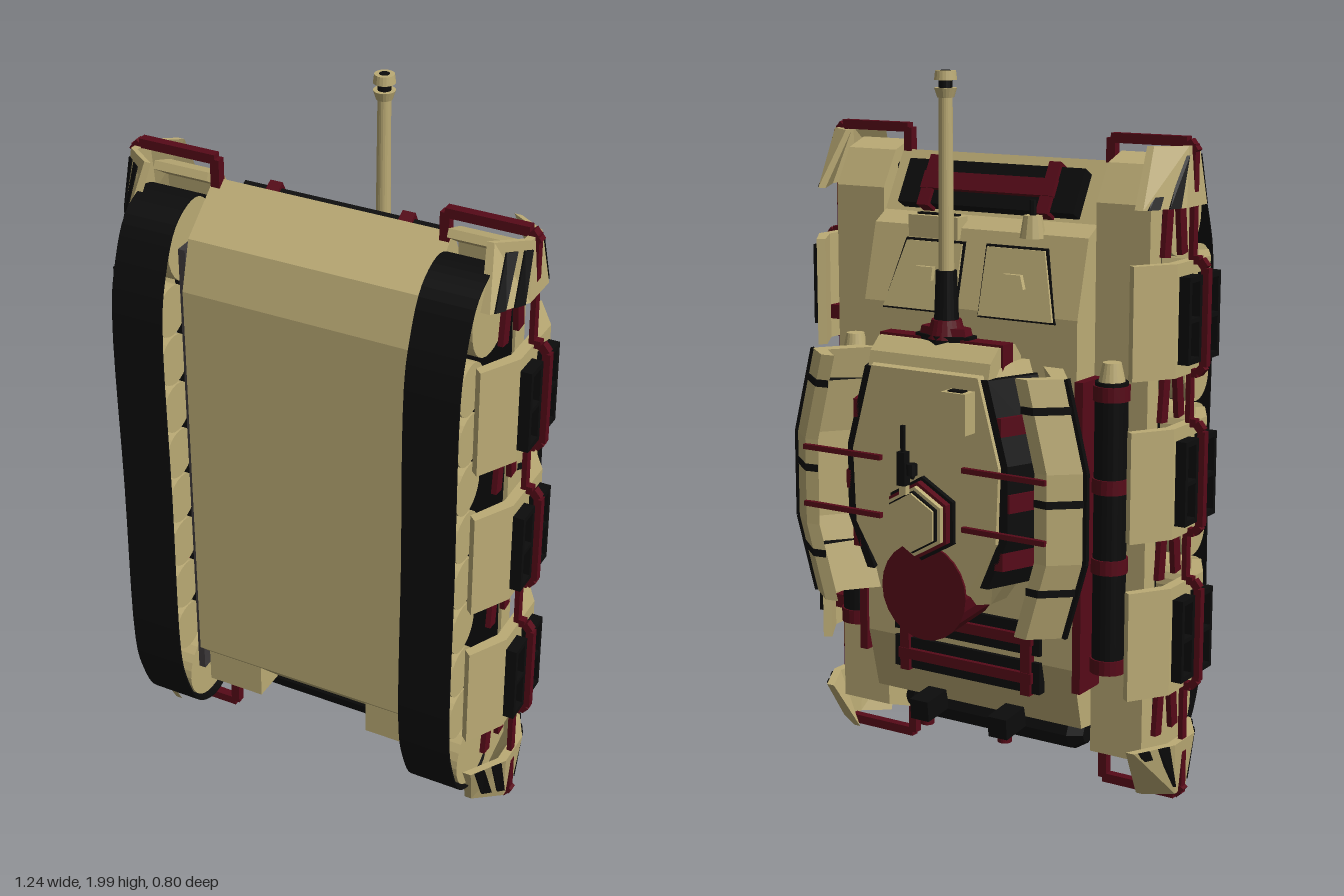
import * as THREE from 'three';

const mat = (color) => new THREE.MeshStandardMaterial({ color, flatShading: true, side: THREE.DoubleSide });

export function createModel() {
  const root = new THREE.Group();
  const tan = mat(0xbbab75), black = mat(0x0c0c0c), red = mat(0x560a18), grey = mat(0x3c383a);
  let target = root;

  const add = (name, geo, m) => {
    const mesh = new THREE.Mesh(geo, m);
    mesh.name = name;
    target.add(mesh);
  };
  const box = (name, m, x0, x1, y0, y1, z0, z1) => add(name,
    new THREE.BoxGeometry(x1 - x0, y1 - y0, z1 - z0).translate((x0 + x1) / 2, (y0 + y1) / 2, (z0 + z1) / 2), m);
  // Rectangular bar between two points
  const bar = (name, m, a, b, w, d = w) => {
    const p = new THREE.Vector3(...a), q = new THREE.Vector3(...b);
    const turn = new THREE.Matrix4().lookAt(q, p, new THREE.Vector3(0, 1, 0));
    turn.setPosition(p.clone().add(q).multiplyScalar(0.5));
    add(name, new THREE.BoxGeometry(w, d, p.distanceTo(q)).applyMatrix4(turn), m);
  };
  // Cylinder along y, x or z
  const cyl = (name, m, r0, r1, h, x, y, z, axis = 'y', n = 20) => {
    const g = new THREE.CylinderGeometry(r1, r0, h, n);
    if (axis === 'x') g.rotateZ(Math.PI / 2);
    if (axis === 'z') g.rotateX(-Math.PI / 2);
    add(name, g.translate(x, y, z), m);
  };
  const vecs = (pts) => pts.map((p) => new THREE.Vector2(...p));
  // Extrude a (z, y) shape along x
  const prismX = (name, m, shape, x0, x1) => add(name,
    new THREE.ExtrudeGeometry(shape, { depth: x1 - x0, bevelEnabled: false })
      .rotateY(-Math.PI / 2).translate(x1, 0, 0), m);
  // Skin equal-length closed rings of points and cap both ends
  const loft = (name, m, rings) => {
    const n = rings[0].length, idx = [];
    for (let r = 0; r < rings.length - 1; r++) for (let i = 0; i < n; i++) {
      const a = r * n + i, b = r * n + (i + 1) % n;
      idx.push(a, b, b + n, a, b + n, a + n);
    }
    const last = (rings.length - 1) * n;
    const level = Math.abs(rings[0][0][2] - rings[0][2][2]) < 1e-6;
    const flat = THREE.ShapeUtils.triangulateShape(vecs(rings[0].map((p) => [p[0], level ? p[1] : p[2]])), []);
    for (const [a, b, c] of flat) idx.push(c, b, a, last + a, last + b, last + c);
    const g = new THREE.BufferGeometry();
    g.setAttribute('position', new THREE.Float32BufferAttribute(rings.flat(2), 3));
    g.setIndex(idx);
    g.computeVertexNormals();
    add(name, g, m);
  };
  const both = (name, build) => {
    for (const s of [1, -1]) {
      target = new THREE.Group();
      target.name = (s > 0 ? 'left' : 'right') + name;
      target.scale.x = s;
      build();
      root.add(target);
    }
    target = root;
  };

  // Hull: side profile as (z, y)
  prismX('hull', tan, new THREE.Shape(vecs([[0.3, 0.34], [0.3, 1.51], [0.26, 1.645], [0.12, 1.76], [0.03, 1.6],
    [-0.02, 1.57], [-0.075, 1.36], [-0.075, 0.4], [-0.03, 0.22], [0.16, 0.2]])), -0.34, 0.34);
  cyl('rearMuffler', black, 0.055, 0.055, 0.52, 0, 0.165, 0.08, 'x', 8);
  both('RearParts', () => {
    box('rearBox', tan, 0.17, 0.34, 0.19, 0.3, 0.12, 0.25);
    cyl('mufflerEnd', black, 0.03, 0.055, 0.04, 0.28, 0.165, 0.08, 'x', 8);
    bar('exhaust', black, [0.13, 0.22, -0.03], [0.13, 0.21, -0.13], 0.06);
    cyl('exhaustTip', red, 0.02, 0.02, 0.02, 0.13, 0.17, -0.09);
  });

  // Spare track rack on the nose
  const rack = new THREE.Group();
  rack.name = 'noseRack';
  target = rack;
  box('spareTrack', black, -0.28, 0.28, -0.065, 0.065, -0.03, 0.02);
  box('rackBar', red, -0.21, 0.21, -0.025, 0.025, -0.045, 0);
  for (const x of [-0.19, 0.19]) box('rackStrap', red, x - 0.018, x + 0.018, -0.075, 0.075, -0.042, 0);
  rack.position.set(0, 1.67, 0.06);
  rack.rotation.x = 0.51;
  root.add(rack);
  target = root;

  // Glacis hatches, driver visor and ball mount
  both('Hatch', () => {
    const ring = (k, dz) => [[0.04 - k, 1.35 - k, -0.075 + dz], [0.27 + k, 1.35 - k, -0.075 + dz],
      [0.22 + k, 1.53 + k, -0.029 + dz], [0.04 - k, 1.53 + k, -0.029 + dz]];
    const at = ([x, y, z]) => [x * 0.3 + 0.1, y * 0.2 + 1.16, z * 0.2 - 0.058];
    loft('hatchSeal', black, [ring(0.006, 0), ring(0.006, -0.006)]);
    loft('hatch', tan, [ring(0, 0), ring(0, -0.013)]);
    loft('hatchVisor', tan, [ring(0, 0).map(at), ring(0, -0.07).map(at)]);
  });
  box('driverVisor', tan, 0.055, 0.215, 1.54, 1.6, -0.04, 0.01);
  box('visorSlot', black, 0.07, 0.2, 1.56, 1.605, -0.02, 0);
  cyl('ballMount', tan, 0.035, 0.025, 0.06, -0.17, 1.59, -0.02, 'y', 12);
  cyl('hullGun', black, 0.009, 0.009, 0.06, -0.17, 1.63, -0.02, 'y', 8);

  // Engine deck racks
  for (const y of [0.36, 0.47]) {
    box('deckPanel', black, -0.24, 0.24, y - 0.045, y + 0.045, -0.088, -0.06);
    box('deckBar', red, -0.22, 0.22, y - 0.015, y + 0.015, -0.102, -0.07);
  }
  for (const x of [-0.2, 0.2]) box('deckStrap', red, x - 0.015, x + 0.015, 0.31, 0.52, -0.1, -0.07);

  both('RunningGear', () => {
    // Track band with thin walls
    const path = (k) => {
      const c = new THREE.CatmullRomCurve3([[0.4, 0.39], [0.4, 0.92], [0.4, 1.46], [0.378, 1.57], [0.31, 1.705],
        [0.21, 1.745], [0.12, 1.69], [0.09, 1.55], [0.1, 0.92], [0.09, 0.3], [0.12, 0.16], [0.21, 0.108],
        [0.31, 0.147], [0.378, 0.28]].map(([z, y]) => new THREE.Vector3(
        0.245 + (z - 0.245) * (1 - k / 0.155), 0.925 + (y - 0.925) * (1 - k / 0.81), 0)), true, 'centripetal');
      return c.getPoints(70).slice(0, -1).map((p) => new THREE.Vector2(p.x, p.y));
    };
    const band = new THREE.Shape(path(0));
    band.holes.push(new THREE.Path(path(0.005)));
    prismX('track', black, band, 0.345, 0.495);
    for (let i = 0; i < 8; i++) cyl('roadWheel', tan, 0.071, 0.071, 0.13, 0.425, 0.43 + i * 0.147, 0.322, 'x', 24);
    for (const y of [0.235, 1.62]) cyl('endWheel', tan, 0.113, 0.113, 0.13, 0.425, y, 0.215, 'x', 28);
    box('innerWall', grey, 0.34, 0.36, 0.25, 1.62, 0.1, 0.28);
    // Fender
    prismX('fender', tan, new THREE.Shape(vecs([[0.02, 0.14], [0.02, 1.66], [0.08, 1.76], [0.15, 1.785],
      [0.16, 1.765], [0.09, 1.72], [0.08, 1.6], [0.08, 0.26], [0.16, 0.11], [0.13, 0.1]])), 0.34, 0.5);
    // Stowage on the fender
    cyl('canister', black, 0.045, 0.045, 0.8, 0.415, 0.8, -0.02);
    for (const y of [0.42, 0.7, 0.92, 1.17]) cyl('canisterBand', red, 0.05, 0.05, 0.04, 0.415, y, -0.02);
    cyl('canisterCap', tan, 0.038, 0.025, 0.06, 0.415, 1.22, -0.02);
    box('stowageRail', red, 0.34, 0.365, 0.34, 1.2, -0.085, 0.02);
  });

  both('SideArmour', () => {
    // Three skirt panels with framed plates
    for (const y of [0.495, 0.93, 1.365]) {
      const ring = (yy) => [[0.505, yy, -0.075], [0.575, yy, 0.03], [0.575, yy, 0.22], [0.515, yy, 0.328],
        [0.495, yy, 0.31], [0.545, yy, 0.21], [0.545, yy, 0.04], [0.485, yy, -0.06]];
      loft('skirtPanel', tan, [ring(y - 0.15), ring(y + 0.15)]);
      for (const z of [0.042, 0.148]) {
        const frame = new THREE.Shape(vecs([[z, y - 0.115], [z + 0.072, y - 0.115],
          [z + 0.072, y + 0.115], [z, y + 0.115]]));
        for (const h of [y - 0.1, y + 0.006]) frame.holes.push(new THREE.Path(vecs([[z + 0.013, h], [z + 0.059, h],
          [z + 0.059, h + 0.094], [z + 0.013, h + 0.094]])));
        prismX('panelFrame', black, frame, 0.57, 0.606);
      }
      bar('panelBracket', red, [0.42, y - 0.075, 0.06], [0.55, y - 0.075, 0.06], 0.04);
      // Rail stepping out over the panel
      const pts = [[0.565, -0.15], [0.592, -0.15], [0.609, -0.13], [0.609, 0.13], [0.592, 0.15], [0.565, 0.15]];
      for (let i = 0; i < 5; i++) bar('panelRail', red, [pts[i][0], y + pts[i][1], 0.13],
        [pts[i + 1][0], y + pts[i + 1][1], 0.13], 0.022);
    }
    bar('longRail', red, [0.568, 0.03, 0.13], [0.568, 1.815, 0.13], 0.014, 0.024);
    // Slanted struts in the gaps
    for (const y of [0.27, 0.715, 1.15, 1.59]) for (const z of [0.1, 0.165])
      bar('strut', red, [0.51, y - 0.07, z + (z - 0.13) * 0.5], [0.51, y + 0.07, z], 0.015, 0.035);

    // Corner plates, stripes and bumper, at both ends
    for (const e of [1, -1]) {
      const Y = (v) => 0.9225 + e * v;
      const A = [[0.515, -0.05], [0.578, 0.07], [0.578, 0.185], [0.515, 0.285]];
      const B = [[0.49, 0.05], [0.565, 0.1], [0.565, 0.16], [0.49, 0.215]];
      const ring = (P, y, t) => [...P.map(([x, z]) => [x, y, z]), ...[...P].reverse().map(([x, z]) => [x - t, y, z])];
      loft('cornerPlate', tan, [ring(A, Y(0.733), 0.025), ring(B, Y(0.888), 0.02)]);
      const mix = (a, b, t) => a + (b - a) * t;
      for (const [i, j] of [[0, 1], [3, 2]]) for (const u of [0.1, 0.58]) {
        const at = (s, v, k) => [mix(mix(A[i][0], A[j][0], s), mix(B[i][0], B[j][0], s), v) + k,
          Y(mix(0.733, 0.888, v)), mix(mix(A[i][1], A[j][1], s), mix(B[i][1], B[j][1], s), v)];
        const face = (k) => [at(u, 0, k), at(u + 0.26, 0, k), at(Math.min(1, u + 0.5), 0.85, k), at(u + 0.2, 0.85, k)];
        loft('warningStripe', black, [face(0), face(0.004)]);
      }
      const pts = [[0.325, 0.82], [0.325, 0.898], [0.55, 0.898], [0.572, 0.87]];
      for (let i = 0; i < 3; i++) bar('bumper', red, [pts[i][0], Y(pts[i][1]), 0.13],
        [pts[i + 1][0], Y(pts[i + 1][1]), 0.13], 0.026);
    }
  });

  // Turret body: lower and upper outlines
  const plan = [[0.21, 1.25], [0.29, 1.0], [0.28, 0.78], [0.14, 0.58]];
  const outline = (sx, sy, z) => [...plan.map(([x, y]) => [x * sx, 0.9 + (y - 0.9) * sy, z]),
    ...[...plan].reverse().map(([x, y]) => [-x * sx, 0.9 + (y - 0.9) * sy, z])];
  loft('turret', tan, [outline(1, 1, -0.1), outline(0.97, 1, -0.17), outline(0.8, 0.93, -0.288)]);
  cyl('turretRing', black, 0.24, 0.24, 0.05, 0, 0.9, -0.09, 'z', 24);
  cyl('rearBin', red, 0.12, 0.135, 0.175, 0, 0.625, -0.208, 'z', 24);

  // Mantlet
  prismX('mantlet', tan, new THREE.Shape(vecs([[-0.11, 1.2], [-0.11, 1.26], [-0.14, 1.295], [-0.22, 1.295],
    [-0.26, 1.26], [-0.275, 1.2]])), -0.19, 0.19);
  box('mantletStripe', red, -0.195, 0.195, 1.22, 1.302, -0.208, -0.158);
  const hex = (k, y) => [[0.085, -0.02], [0.085, 0.02], [0, 0.05], [-0.085, 0.02], [-0.085, -0.02], [0, -0.05]]
    .map(([x, z]) => [x * k, y, -0.18 + z * k]);
  loft('gunPlateEdge', black, [hex(1, 1.28), hex(1, 1.31)]);
  loft('gunPlate', red, [hex(0.88, 1.3), hex(0.8, 1.33)]);

  // Gun
  const parts = [['gunCollar', red, 0.052, 0.04, 1.3, 1.35], ['gunSleeve', black, 0.033, 0.028, 1.35, 1.48],
    ['barrel', tan, 0.021, 0.018, 1.48, 1.95], ['muzzleRing', tan, 0.022, 0.03, 1.93, 1.955],
    ['muzzleSlot', black, 0.018, 0.018, 1.955, 1.975], ['muzzleTip', tan, 0.03, 0.027, 1.975, 1.999],
    ['bore', black, 0.014, 0.014, 1.99, 2]];
  for (const [n, m, r0, r1, y0, y1] of parts) cyl(n, m, r0, r1, y1 - y0, 0, (y0 + y1) / 2, -0.178);

  // Cupola, periscope and roof gun
  [[black, 0.115, -0.3], [red, 0.105, -0.32], [tan, 0.095, -0.335], [black, 0.085, -0.345], [tan, 0.08, -0.352]]
    .forEach(([m, r, z]) => cyl('cupola', m, r, r, 0.03, 0, 0.83, z + 0.013, 'z', 6));
  box('periscope', tan, -0.16, -0.085, 1.08, 1.19, -0.335, -0.28);
  box('periscopeLens', black, -0.145, -0.1, 1.185, 1.194, -0.325, -0.3);
  bar('roofGunMount', black, [0, 0.95, -0.34], [0, 1.0, -0.385], 0.01);
  bar('roofGun', black, [0, 0.94, -0.385], [0, 1.03, -0.385], 0.025);
  bar('roofGunBarrel', black, [0, 1.02, -0.385], [0, 1.1, -0.385], 0.01);
  cyl('ammoDrum', black, 0.015, 0.015, 0.03, -0.026, 0.985, -0.383, 'y', 10);
  box('roofGunGrip', tan, -0.01, 0.01, 0.915, 0.94, -0.39, -0.37);

  both('TurretArmour', () => {
    // Stowage boxes against the turret wall
    const wall = (y, d) => [[0.3 - d, y, -0.11], [0.315 - d, y, -0.13], [0.255 - d, y, -0.28], [0.23 - d, y, -0.28]];
    loft('sideStowage', black, [wall(0.66, 0.06), wall(0.8, 0), wall(1.0, 0), wall(1.22, 0.06)]);
    for (const [y, d] of [[0.74, 0.015], [0.9, -0.006], [1.1, 0.02]])
      loft('stowageStrap', red, [wall(y - 0.025, d), wall(y + 0.025, d)]);
    // Spaced armour with a ridge, bent inward at its ends
    const sec = (y, d, k = 0) => [[0.385 - d, y, -0.3 - k], [0.465 + k - d, y, -0.232], [0.385 + k - d, y, -0.12 + k],
      [0.325 - d, y, -0.12 + k], [0.415 - d, y, -0.232], [0.345 - d, y, -0.295 - k]];
    const bends = [[0.55, 0.06], [0.76, 0], [1.0, 0], [1.24, 0.06]];
    loft('spacedArmour', tan, bends.map(([y, d]) => sec(y, d)));
    for (const [y, d] of [[0.68, 0.023], [0.92, 0], [1.16, 0.04]])
      loft('armourBand', black, [sec(y - 0.01, d, 0.003), sec(y + 0.01, d, 0.003)]);
    for (let i = 0; i < 3; i++) bar('ridgeStrip', black, [0.461 - bends[i][1], bends[i][0], -0.232],
      [0.461 - bends[i + 1][1], bends[i + 1][0], -0.232], 0.014);
    for (const y of [0.82, 0.98]) bar('armourSupport', red, [0.13, y, -0.302], [0.385, y, -0.304], 0.014);
  });
  return root;
}
